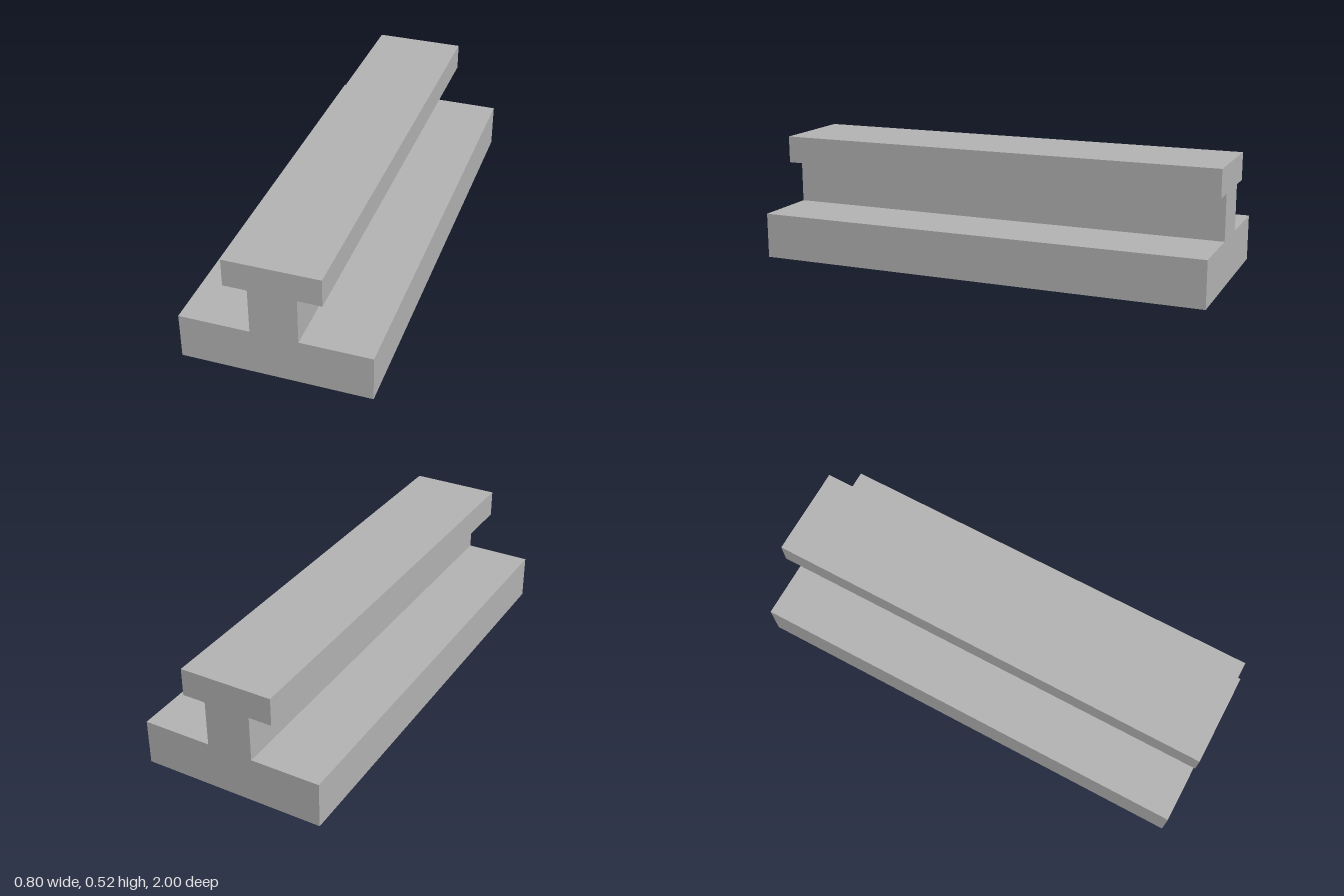
import * as THREE from 'three';

const LENGTH = 2;

// Right half of the cross-section, bottom to top: foot, web, head
const HALF_PROFILE = [
  [0.4, 0], [0.4, 0.2],
  [0.1, 0.2], [0.1, 0.4],
  [0.2, 0.4], [0.2, 0.52],
];

export function createModel() {
  const model = new THREE.Group();
  model.name = 'rail';

  const steel = new THREE.MeshStandardMaterial({ color: 0xb3b3b3 });
  steel.name = 'grey steel';

  // Mirror the half profile to close the outline
  const right = HALF_PROFILE.map(([x, y]) => new THREE.Vector2(x, y));
  const left = HALF_PROFILE.map(([x, y]) => new THREE.Vector2(-x, y)).reverse();
  const outline = new THREE.Shape([...right, ...left]);

  // One solid beam, extruded along z and centred
  const geometry = new THREE.ExtrudeGeometry(outline, { depth: LENGTH, bevelEnabled: false });
  geometry.translate(0, 0, -LENGTH / 2);

  const beam = new THREE.Mesh(geometry, steel);
  beam.name = 'railBeam';
  model.add(beam);

  return model;
}
